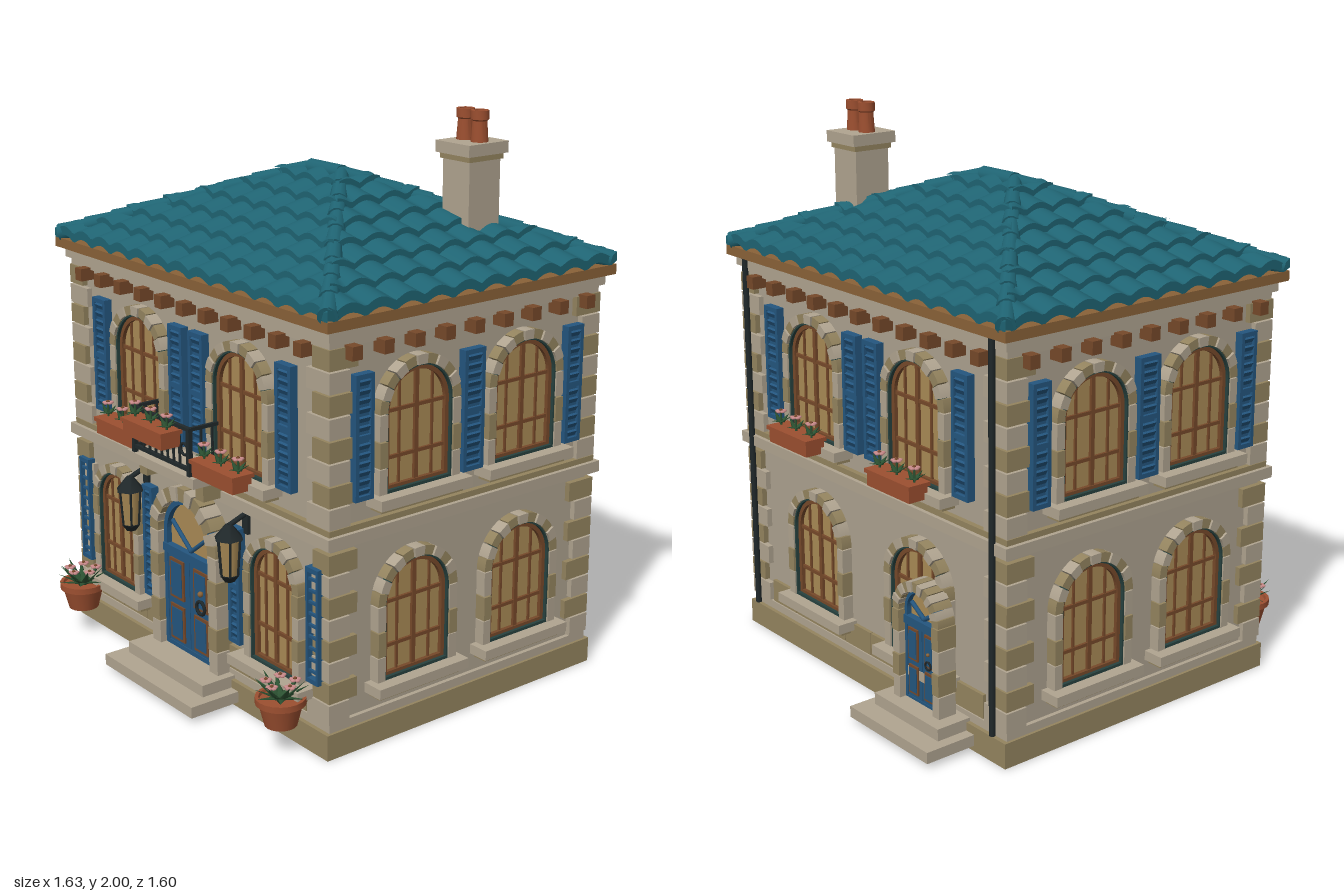
import * as THREE from 'three';
import { toCreasedNormals } from 'three/addons/utils/BufferGeometryUtils.js';

const C = { wall: 0xada28f, trim: 0xb0a490, stone: 0x94845f, wood: 0x76492a, glass: 0xa98a55, blue: 0x24567f,
  roof: 0x1f6473, fascia: 0x8a6238, clay: 0x9c4f30, iron: 0x20282a, leaf: 0x2c5232, pink: 0xc98a8a, lining: 0x27423f };
const mats = {};
const mat = c => mats[c] ??= new THREE.MeshStandardMaterial({ color: C[c], roughness: 0.85 });

function add(parent, name, geo, color, x = 0, y = 0, z = 0) {
  const m = new THREE.Mesh(geo, mat(color));
  m.name = name;
  m.position.set(x, y, z);
  parent.add(m);
  return m;
}
const box = (p, name, color, w, h, d, x, y, z) => add(p, name, new THREE.BoxGeometry(w, h, d), color, x, y, z);
const group = (p, name, x = 0, y = 0, z = 0) => {
  const g = new THREE.Group();
  g.name = name;
  g.position.set(x, y, z);
  p.add(g);
  return g;
};
const extrude = (shape, depth) => new THREE.ExtrudeGeometry(shape, { depth, bevelEnabled: false, curveSegments: 16 });
function rod(p, name, color, a, b, r0, r1 = r0, sides = 8) {
  const A = new THREE.Vector3(...a), B = new THREE.Vector3(...b), d = B.clone().sub(A);
  const m = add(p, name, new THREE.CylinderGeometry(r1, r0, d.length(), sides), color);
  m.position.copy(A).add(B).multiplyScalar(0.5);
  m.quaternion.setFromUnitVectors(new THREE.Vector3(0, 1, 0), d.normalize());
}

// Round-headed opening: straight jambs and a half circle, optionally hollowed to a ring
function arch(r, y0, spring, hole = 0) {
  const trace = (s, q, b) => s.moveTo(-q, b).lineTo(q, b).lineTo(q, spring).absarc(0, spring, q, 0, Math.PI, false).lineTo(-q, b);
  const s = new THREE.Shape();
  trace(s, r, y0);
  if (hole) {
    const h = new THREE.Path();
    trace(h, r - hole, y0 + hole);
    s.holes.push(h);
  }
  return s;
}

// Arch stones and jamb blocks around an opening
function surround(g, r, t, y0, spring, z, depth, count = 11) {
  for (let i = 0; i < count; i++) {
    const a = i * Math.PI / count + 0.012, b = (i + 1) * Math.PI / count - 0.012;
    const s = new THREE.Shape().absarc(0, spring, r, a, b, false).absarc(0, spring, r - t, b, a, true);
    add(g, 'archStone', extrude(s, depth + (i % 2) * 0.005), i % 2 ? 'trim' : 'stone', 0, 0, z);
  }
  const n = Math.max(2, Math.round((spring - y0) / 0.085)), h = (spring - y0) / n;
  for (const k of [-1, 1]) for (let i = 0; i < n; i++)
    box(g, 'jambStone', i % 2 ? 'stone' : 'trim', t, h - 0.004, depth + (i % 2) * 0.005, k * (r - t / 2), y0 + h * (i + 0.5), z + depth / 2);
}

function archedWindow(wall, x, y0, r, top, sillHalf = 0.195) {
  const g = group(wall, 'window', x), spring = top - r, q = r - 0.033;
  surround(g, r, 0.033, y0, spring, 0, 0.04);
  add(g, 'glass', extrude(arch(q, y0, spring), 0.008), 'glass');
  add(g, 'lining', extrude(arch(q + 0.004, y0, spring, 0.01), 0.034), 'lining');
  add(g, 'windowFrame', extrude(arch(q - 0.005, y0 + 0.005, spring, 0.016), 0.022), 'wood');
  box(g, 'mullion', 'wood', 0.016, spring + q - y0 - 0.02, 0.012, 0, (spring + q + y0) / 2, 0.012);
  for (const y of [y0 + (spring - y0) * 0.42, spring])
    box(g, 'glazingBar', 'wood', 2 * q - 0.03, 0.012, 0.01, 0, y, 0.012);
  for (const k of [-1, 1])
    box(g, 'glazingBar', 'wood', 0.008, spring + q * 0.75 - y0, 0.008, k * q * 0.5, (spring + q * 0.75 + y0) / 2, 0.011);
  box(g, 'sill', 'trim', sillHalf * 2, 0.035, 0.082, 0, y0 - 0.018, 0.038);
  box(g, 'sillMoulding', 'stone', sillHalf * 2 - 0.04, 0.018, 0.055, 0, y0 - 0.044, 0.027);
}

function shutter(wall, x, y0, y1, w, open = false) {
  const g = group(wall, open ? 'trellis' : 'shutter', x, (y0 + y1) / 2, 0.018), h = y1 - y0, n = open ? 10 : 14;
  const e = open ? 0.01 : 0.014;
  if (!open) box(g, 'shutterBack', 'blue', w, h, 0.016, 0, 0, 0);
  for (const k of [-1, 1]) {
    box(g, 'stile', 'blue', e, h, 0.03, k * (w - e) / 2, 0, 0.004);
    box(g, 'rail', 'blue', w, 0.016, 0.03, 0, k * (h / 2 - 0.008), 0.004);
  }
  if (!open) box(g, 'rail', 'blue', w, 0.018, 0.03, 0, 0, 0.004);
  for (let i = 1; i < n; i++) {
    const s = box(g, 'slat', 'blue', w - e, open ? 0.009 : 0.018, 0.009, 0, -h / 2 + i * h / n, 0.01);
    s.rotation.x = open ? 0 : 0.5;
  }
}

function doorway(wall, x, r, t, y0, top, z) {
  const g = group(wall, 'doorway', x, 0, z), spring = top - r, q = r - t, lintel = spring - q * 0.4, h = lintel - y0;
  surround(g, r, t, y0, spring, -0.01, 0.07, 13);
  add(g, 'transomGlass', extrude(arch(q, y0, spring), 0.015), 'glass');
  add(g, 'doorFrame', extrude(arch(q, y0, spring, q * 0.13), 0.035), 'blue');
  box(g, 'transom', 'blue', 2 * q, 0.03, 0.04, 0, lintel, 0.02);
  for (const k of [-1, 1]) {
    box(g, 'doorLeaf', 'blue', q - 0.004, h, 0.02, k * q / 2, y0 + h / 2, 0.022);
    for (const [f, ph] of [[0.27, 0.36], [0.72, 0.4]]) {
      box(g, 'panelFrame', 'wood', q * 0.56, h * ph, 0.008, k * q * 0.48, y0 + h * f, 0.034);
      box(g, 'panel', 'blue', q * 0.42, h * (ph - 0.06), 0.008, k * q * 0.48, y0 + h * f, 0.037);
    }
    rod(g, 'fanBar', 'blue', [0, lintel + 0.02, 0.022], [k * q * 0.75, spring + q * 0.3, 0.022], 0.008);
  }
  add(g, 'knocker', new THREE.TorusGeometry(q * 0.16, q * 0.04, 6, 16), 'iron', q * 0.6, y0 + h * 0.58, 0.05);
  add(g, 'doorKnob', new THREE.SphereGeometry(q * 0.07, 10, 8), 'fascia', q * 0.6, y0 + h * 0.72, 0.05);
}

function leaves(g, n, reach, size, lift) {
  for (let i = 0; i < n; i++) {
    const arm = group(g, 'leafStem');
    arm.rotation.y = i * 2.4;
    const l = add(arm, 'leaf', new THREE.ConeGeometry(size, reach, 5), 'leaf', 0, lift + (i % 3) * reach * 0.12, reach * 0.5);
    l.rotation.x = Math.PI / 2 - 0.25 - (i % 3) * 0.28;
    l.scale.z = 0.25;
  }
}
function blossom(g, y, r, x = 0, z = 0) {
  for (let i = 0; i < 5; i++) {
    const a = i * Math.PI * 0.4;
    add(g, 'petal', new THREE.SphereGeometry(r, 6, 4), 'pink', x + Math.cos(a) * r * 1.2, y, z + Math.sin(a) * r * 1.2).scale.y = 0.5;
  }
  add(g, 'flowerCentre', new THREE.SphereGeometry(r * 0.7, 6, 4), 'wood', x, y + r * 0.3, z);
}
function planter(wall, x, y, z) {
  const g = group(wall, 'flowerBox', x, y, z);
  box(g, 'trough', 'clay', 0.23, 0.05, 0.075, 0, 0.025, 0);
  box(g, 'troughRim', 'clay', 0.245, 0.014, 0.088, 0, 0.053, 0);
  for (const k of [-1, 0, 1]) {
    const f = group(g, 'flower', k * 0.095, 0.06, 0);
    rod(f, 'stem', 'leaf', [0, 0, 0], [0, 0.045, 0], 0.004);
    leaves(f, 5, 0.042, 0.014, 0.016);
    blossom(f, 0.05, 0.01);
  }
}

// Barrel-tiled slope: scalloped columns with a lip at the foot of every row
function slope(parent, L, R, D, inner, phase) {
  const rows = 7, p = 0.12, n = Math.round(L / p * 2) * 8, lines = [], pos = [];
  for (let r = 0; r < rows; r++) lines.push([r / rows, r ? 0 : -0.012], [r / rows, 0.02], [(r + 1) / rows, 0]);
  const point = (i, [v, lift]) => {
    const w = L + (R - L) * v, s = Math.max(-w, Math.min(w, -L + 2 * L * i / n));
    const curve = 0.022 * Math.abs(Math.cos(Math.PI * (s / p + phase)));
    return [s, 1.485 + 0.275 * v + lift + curve, D + (inner - D) * v];
  };
  for (let j = 0; j < lines.length - 1; j++) for (let i = 0; i < n; i++) {
    const a = point(i, lines[j]), b = point(i + 1, lines[j]), c = point(i + 1, lines[j + 1]), d = point(i, lines[j + 1]);
    if (a[0] === b[0] && c[0] === d[0]) continue;
    pos.push(...a, ...b, ...c, ...a, ...c, ...d);
  }
  const geo = new THREE.BufferGeometry();
  geo.setAttribute('position', new THREE.Float32BufferAttribute(pos, 3));
  return add(parent, 'roofSlope', toCreasedNormals(geo, 0.7), 'roof');
}

export function createModel() {
  const house = new THREE.Group();
  house.name = 'house';
  // Masonry body and horizontal bands
  box(house, 'plinth', 'stone', 1.52, 0.09, 1.21, 0, 0.045, 0);
  box(house, 'plinthCap', 'trim', 1.5, 0.03, 1.18, 0, 0.105, 0);
  box(house, 'walls', 'wall', 1.47, 1.36, 1.15, 0, 0.77, 0);
  box(house, 'beltCourse', 'trim', 1.54, 0.04, 1.22, 0, 0.75, 0);
  box(house, 'beltMoulding', 'stone', 1.51, 0.02, 1.19, 0, 0.78, 0);
  box(house, 'frieze', 'trim', 1.5, 0.025, 1.18, 0, 1.39, 0);
  box(house, 'cornice', 'trim', 1.53, 0.04, 1.21, 0, 1.425, 0);
  box(house, 'fascia', 'fascia', 1.58, 0.035, 1.26, 0, 1.46, 0);
  // Corner stones
  for (const sx of [-1, 1]) for (const sz of [-1, 1]) for (const [y0, n] of [[0.12, 8], [0.79, 8]])
    for (let i = 0; i < n; i++) {
      const w = i % 2 ? 0.085 : 0.115, d = i % 2 ? 0.115 : 0.085;
      box(house, 'cornerStone', i % 2 ? 'stone' : 'trim', w, 0.068, d, sx * (0.755 - w / 2), y0 + 0.036 + i * 0.074, sz * (0.595 - d / 2));
    }
  // Each wall is laid out along its own x, with z pointing outward
  const [front, right, back, left] = ['front', 'leftSide', 'back', 'rightSide'].map((name, i) => {
    const g = group(house, name + 'Wall'), d = i % 2 ? 0.735 : 0.575, a = i * Math.PI / 2;
    g.position.set(Math.sin(a) * d, 0, Math.cos(a) * d);
    g.rotation.y = a;
    const n = i % 2 ? 4 : 5;
    for (let k = -n; k <= n; k++) box(g, 'eaveBracket', 'wood', 0.04, 0.045, 0.06, k * 0.128, 1.363, 0.025);
    return g;
  });
  for (const wall of [front, back]) {
    for (const k of [-1, 1]) {
      archedWindow(wall, k * 0.295, 0.865, 0.172, 1.31);
      planter(wall, k * 0.295, 0.842, 0.103);
      shutter(wall, k * 0.54, 0.87, 1.29, 0.082);
      shutter(wall, k * 0.06, 0.87, 1.29, 0.082);
      archedWindow(wall, k * (wall === front ? 0.47 : 0.295), 0.22, wall === front ? 0.15 : 0.172, wall === front ? 0.68 : 0.66);
    }
    for (let i = 0; i < 8; i++) if (wall === back || Math.abs(i - 3.5) > 1)
      box(wall, 'baseStone', 'stone', 0.153, 0.085, 0.016, -0.55 + i * 0.157, 0.165, 0.005);
  }
  for (const wall of [left, right]) {
    for (const k of [-1, 1]) {
      archedWindow(wall, k * 0.235, 0.22, 0.172, 0.66);
      archedWindow(wall, k * 0.235, 0.87, 0.172, 1.31);
      shutter(wall, k * 0.465, 0.87, 1.285, 0.075);
    }
    shutter(wall, 0, 0.87, 1.285, 0.09);
  }
  // Entrances and steps
  doorway(front, 0, 0.2, 0.05, 0.1, 0.73, 0.005);
  doorway(back, 0.385, 0.125, 0.035, 0.1, 0.55, 0.045);
  for (const [wall, x, w] of [[front, 0, 0.54], [back, 0.385, 0.43]]) {
    box(wall, 'lowerStep', 'trim', w, 0.04, 0.25, x, 0.04, 0.1);
    box(wall, 'upperStep', 'trim', w - 0.08, 0.045, 0.17, x, 0.08, 0.065);
  }
  for (const k of [-1, 1]) {
    shutter(front, k * 0.26, 0.24, 0.66, 0.062);
    shutter(front, k * 0.685, 0.25, 0.65, 0.062, true);
    // Wall lanterns
    const lamp = group(front, 'lantern', k * 0.3, 0, 0.08);
    rod(lamp, 'lampArm', 'iron', [0, 0.72, -0.08], [0, 0.69, 0], 0.009);
    box(lamp, 'lampPlate', 'iron', 0.03, 0.09, 0.012, 0, 0.69, -0.072);
    add(lamp, 'lampRoof', new THREE.CylinderGeometry(0.012, 0.052, 0.05, 6), 'iron', 0, 0.67, 0);
    add(lamp, 'lampGlass', new THREE.CylinderGeometry(0.04, 0.03, 0.13, 6), 'glass', 0, 0.58, 0);
    add(lamp, 'lampBase', new THREE.CylinderGeometry(0.036, 0.018, 0.025, 6), 'iron', 0, 0.505, 0);
    for (let i = 0; i < 6; i++) {
      const s = Math.sin(i * Math.PI / 3), c = Math.cos(i * Math.PI / 3);
      rod(lamp, 'lampBar', 'iron', [s * 0.031, 0.515, c * 0.031], [s * 0.041, 0.648, c * 0.041], 0.005, 0.005, 4);
    }
    // Potted plants
    const pot = group(house, 'pottedPlant', k * 0.61, 0.1, 0.68);
    const profile = [[0, 0], [0.055, 0], [0.074, 0.075], [0.085, 0.078], [0.085, 0.1], [0.073, 0.1], [0.07, 0.09], [0, 0.09]];
    add(pot, 'pot', toCreasedNormals(new THREE.LatheGeometry(profile.map(q => new THREE.Vector2(...q)), 20), 0.6), 'clay');
    leaves(pot, 18, 0.1, 0.02, 0.105);
    for (let i = 0; i < 5; i++) blossom(pot, 0.15, 0.01, Math.cos(i * 1.257) * 0.05, Math.sin(i * 1.257) * 0.05);
    // Rear downpipes
    rod(house, 'downpipe', 'iron', [k * 0.7, 0.1, -0.61], [k * 0.7, 1.44, -0.61], 0.011);
  }
  // Balcony
  const balcony = group(front, 'balcony');
  box(balcony, 'balconySlab', 'trim', 0.4, 0.035, 0.16, 0, 0.82, 0.07);
  for (const k of [-1, 1]) {
    box(balcony, 'balconyBracket', 'stone', 0.045, 0.06, 0.11, k * 0.17, 0.775, 0.05);
    for (const y of [0.86, 1.0]) box(balcony, 'sideRail', 'iron', 0.012, 0.012, 0.14, k * 0.165, y, 0.07);
    for (const z of [0.045, 0.09]) box(balcony, 'baluster', 'iron', 0.007, 0.15, 0.007, k * 0.165, 0.93, z);
    box(balcony, 'railPost', 'iron', 0.016, 0.17, 0.016, k * 0.165, 0.92, 0.138);
    add(balcony, 'railScroll', new THREE.TorusGeometry(0.02, 0.005, 6, 16), 'iron', k * 0.135, 0.925, 0.138);
  }
  for (const y of [0.86, 1.0]) box(balcony, 'frontRail', 'iron', 0.34, 0.012, 0.014, 0, y, 0.138);
  for (let i = -3; i <= 3; i++) box(balcony, 'baluster', 'iron', 0.007, 0.14, 0.007, i * 0.036, 0.93, 0.138);
  planter(balcony, 0, 0.93, 0.178);
  // Hipped roof with capped hips and ridge
  const roof = group(house, 'roof');
  for (const k of [0, 1]) {
    slope(roof, 0.79, 0.08, 0.63, 0, 0).rotation.y = k * Math.PI;
    slope(roof, 0.63, 0, 0.79, 0.08, 0.5).rotation.y = (k + 0.5) * Math.PI;
  }
  for (const sx of [-1, 1]) for (const sz of [-1, 1]) for (let i = 0; i < 9; i++) {
    const at = t => [sx * (0.775 - 0.695 * t), 1.492 + 0.268 * t, sz * 0.618 * (1 - t)];
    rod(roof, 'hipTile', 'roof', at(i / 9), at((i + 1.15) / 9 > 1 ? 1 : (i + 1.15) / 9), 0.033, 0.026, 12);
  }
  rod(roof, 'ridgeTile', 'roof', [-0.085, 1.757, 0], [0.085, 1.757, 0], 0.033, 0.033, 12);
  // Chimney
  const chimney = group(house, 'chimney', 0.455, 0, -0.26);
  box(chimney, 'shaft', 'trim', 0.13, 0.3, 0.14, 0, 1.72, 0);
  box(chimney, 'collar', 'stone', 0.145, 0.02, 0.155, 0, 1.845, 0);
  box(chimney, 'chimneyCap', 'trim', 0.165, 0.04, 0.18, 0, 1.875, 0);
  const potLine = [[0, 0], [0.03, 0], [0.025, 0.07], [0.031, 0.075], [0.031, 0.105], [0.02, 0.105], [0.02, 0.03], [0, 0.03]];
  for (const k of [-1, 1])
    add(chimney, 'chimneyPot', toCreasedNormals(new THREE.LatheGeometry(potLine.map(q => new THREE.Vector2(...q)), 16), 0.6), 'clay', k * 0.035, 1.895, 0);
  return house;
}
